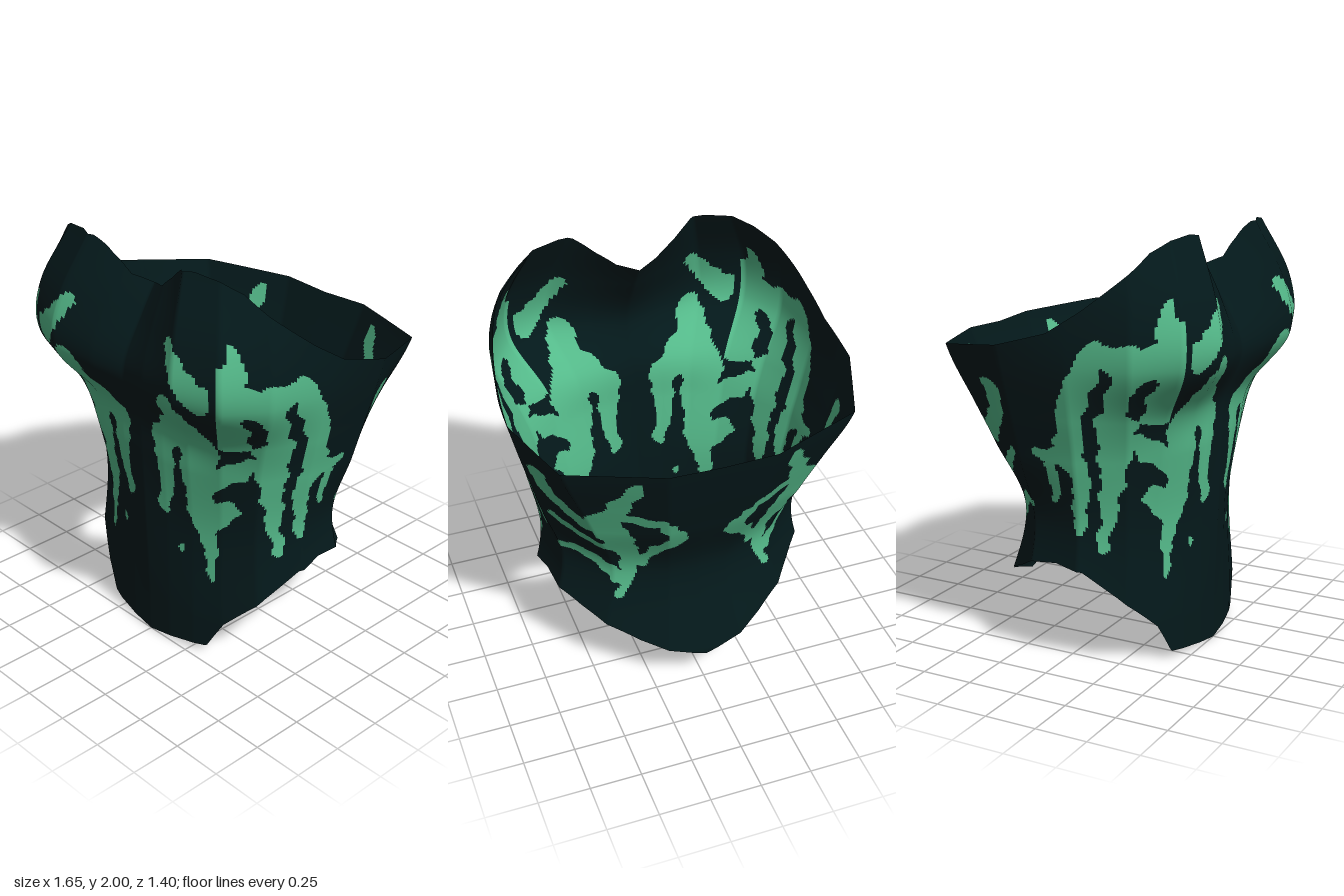
import * as THREE from 'three';

// Cubic interpolation through uneven knots
function smooth(ks, vs, t) {
  const n = ks.length;
  if (t <= ks[0]) return vs[0];
  if (t >= ks[n - 1]) return vs[n - 1];
  let i = 0;
  while (t > ks[i + 1]) i++;
  const slope = (k) => {
    const a = Math.max(k - 1, 0), b = Math.min(k + 1, n - 1);
    return (vs[b] - vs[a]) / (ks[b] - ks[a]);
  };
  const h = ks[i + 1] - ks[i], s = (t - ks[i]) / h, s2 = s * s, s3 = s2 * s;
  return (2 * s3 - 3 * s2 + 1) * vs[i] + (s3 - 2 * s2 + s) * h * slope(i)
    + (3 * s2 - 2 * s3) * vs[i + 1] + (s3 - s2) * h * slope(i + 1);
}

// Straight interpolation along [angle, height] pairs
function linear(pts, t) {
  let i = 0;
  while (i < pts.length - 2 && t > pts[i + 1][0]) i++;
  const [a, b] = [pts[i], pts[i + 1]];
  return a[1] + (b[1] - a[1]) * (t - a[0]) / (b[0] - a[0]);
}

// Half cross-sections: radius at each angle from the centre front to the centre back
const angles = [0, 15, 30, 45, 60, 80, 103, 128, 160, 180];
const levels = [0.2, 0.65, 1, 1.2, 1.45, 1.7, 2];
const sections = [
  [0.5, 0.507, 0.535, 0.585, 0.66, 0.75, 0.73, 0.63, 0.56, 0.53],
  [0.515, 0.507, 0.52, 0.56, 0.617, 0.648, 0.615, 0.505, 0.427, 0.41],
  [0.525, 0.535, 0.57, 0.62, 0.667, 0.7, 0.71, 0.655, 0.565, 0.53],
  [0.54, 0.555, 0.61, 0.685, 0.735, 0.75, 0.765, 0.75, 0.645, 0.605],
  [0.62, 0.685, 0.8, 0.87, 0.857, 0.803, 0.83, 0.868, 0.74, 0.695],
  [0.5, 0.6, 0.77, 0.855, 0.845, 0.803, 0.88, 0.93, 0.82, 0.77],
  [0.3, 0.4, 0.62, 0.69, 0.73, 0.78, 0.88, 0.93, 0.82, 0.77],
];
const topEdge = [[0, 1.82], [12, 1.845], [22, 1.92], [29, 1.99], [35, 2], [45, 1.985], [53, 1.94],
  [60, 1.86], [75, 1.7], [86, 1.6], [103, 1.53], [128, 1.48], [180, 1.455]];
const bottomEdge = [[0, 0], [37.5, 0.04], [46, 0.19], [64, 0.36], [78, 0.48], [90, 0.5],
  [103, 0.48], [114, 0.42], [145, 0.29], [180, 0.18]];

// Radius with straight chords between the section angles
function radius(deg, y) {
  let i = 0;
  while (i < angles.length - 2 && deg > angles[i + 1]) i++;
  const [ra, rb] = [i, i + 1].map((k) => smooth(levels, sections.map((s) => s[k]), y));
  const sin = (d) => Math.sin(THREE.MathUtils.degToRad(d));
  return sin(angles[i + 1] - angles[i])
    / (sin(angles[i + 1] - deg) / ra + sin(deg - angles[i]) / rb);
}

// Brush strokes: start width, end width, then points of the path
// Front strokes in x, y
const frontStrokes = [
  [0.035, 0.075, 0.34, 1.69, 0.51, 1.51],
  [0.06, 0.1, 0.34, 1.42, 0.34, 1.24],
  [0.09, 0.06, 0.3, 1.25, 0.14, 1.14],
  [0.06, 0.03, 0.13, 1.14, 0.16, 0.97, 0.12, 0.76],
  [0.11, 0.015, 0.35, 1.18, 0.31, 0.8, 0.36, 0.43],
  [0.04, 0.05, 0.33, 0.68, 0.43, 0.82],
  [0.05, 0.04, 0.33, 0.95, 0.47, 1.03, 0.57, 1.1],
  [0.02, 0.02, 0.2, 0.53, 0.2, 0.545],
];
// Side strokes in z, y
const sideStrokes = [
  [0.015, 0.06, 0.55, 1.75, 0.58, 1.58],
  [0.07, 0.05, 0.62, 1.6, 0.6, 1.42, 0.46, 1.22],
  [0.07, 0.04, 0.54, 1.52, 0.4, 1.42, 0.29, 1.2],
  [0.06, 0.06, 0.45, 1.5, 0.27, 1.51, 0.14, 1.28, 0.1, 1.08],
  [0.08, 0.02, 0.31, 1.18, 0.27, 0.95, 0.21, 0.59],
  [0.06, 0.025, 0.1, 1.1, 0.14, 0.95, 0.115, 0.66],
  [0.06, 0.02, 0.08, 1.02, -0.06, 1.03],
  [0.03, 0.02, 0.01, 1, 0, 0.8],
];
// Back strokes in hundredths of the angle, y
const backStrokes = [
  [0.045, 0.05, 1.11, 1.32, 1.12, 1.19, 1.25, 1.06],
  [0.025, 0.06, 1.5, 1.39, 1.4, 1.2, 1.32, 1.06],
  [0.07, 0.05, 1.33, 1.08, 1.38, 0.86, 1.37, 0.72],
  [0.05, 0.02, 1.37, 0.72, 1.32, 0.52],
  [0.03, 0.035, 1.4, 1.13, 1.57, 1.08, 1.67, 0.93],
  [0.035, 0.03, 1.67, 0.93, 1.53, 0.85, 1.42, 0.72],
  [0.02, 0.035, 1.08, 1, 1.2, 0.92, 1.33, 0.84],
  [0.025, 0.04, 1.04, 0.77, 1.18, 0.74, 1.33, 0.6],
];

// True when the point lies on a stroke that tapers along its path
function onStroke([w0, w1, ...path], u, y) {
  const segments = path.length / 2 - 1;
  const ragged = 0.007 * Math.sin(43 * u + 29 * y) + 0.005 * Math.sin(71 * y - 37 * u);
  for (let i = 0; i < segments; i++) {
    const [ax, ay, bx, by] = path.slice(i * 2, i * 2 + 4);
    const dx = bx - ax, dy = by - ay;
    const t = THREE.MathUtils.clamp(((u - ax) * dx + (y - ay) * dy) / (dx * dx + dy * dy), 0, 1);
    const width = THREE.MathUtils.lerp(w0, w1, (i + t) / segments);
    if (Math.hypot(u - ax - t * dx, y - ay - t * dy) < width + ragged) return true;
  }
  return false;
}

function isPattern(x, y, z) {
  const ax = Math.abs(x), deg = THREE.MathUtils.radToDeg(Math.atan2(ax, z));
  if (deg < 60 && frontStrokes.some((s) => onStroke(s, ax, y))) return true;
  if (deg > 44 && sideStrokes.some((s) => onStroke(s, z, y))) return true;
  return deg > 95 && backStrokes.some((s) => onStroke(s, deg / 100, y));
}

export function createModel() {
  const group = new THREE.Group();
  group.name = 'corset';
  const cloth = new THREE.MeshStandardMaterial({ color: 0x04191b, side: THREE.DoubleSide });
  cloth.name = 'dark teal cloth';
  const green = new THREE.MeshStandardMaterial({ color: 0x55bb8b, side: THREE.DoubleSide });
  green.name = 'green pattern';

  // Shell lofted between the bottom and top edges
  const around = 360, rows = 200, pos = [];
  for (let i = 0; i <= rows; i++) {
    for (let j = 0; j < around; j++) {
      const a = (j / around) * 360, half = a > 180 ? 360 - a : a;
      const y = THREE.MathUtils.lerp(linear(bottomEdge, half), linear(topEdge, half), i / rows);
      const r = radius(half, y), t = THREE.MathUtils.degToRad(a);
      pos.push(r * Math.sin(t), y, r * Math.cos(t));
    }
  }

  // Sort the faces into plain cloth and pattern
  const plain = [], marked = [];
  for (let i = 0; i < rows; i++) {
    for (let j = 0; j < around; j++) {
      const a = i * around + j, b = i * around + (j + 1) % around;
      const c = b + around, d = a + around;
      const mid = [0, 1, 2].map((n) => (pos[a * 3 + n] + pos[c * 3 + n]) / 2);
      (isPattern(...mid) ? marked : plain).push(a, b, c, a, c, d);
    }
  }
  const geo = new THREE.BufferGeometry();
  geo.setAttribute('position', new THREE.Float32BufferAttribute(pos, 3));
  geo.setIndex(plain.concat(marked));
  geo.addGroup(0, plain.length, 0);
  geo.addGroup(plain.length, marked.length, 1);
  geo.computeVertexNormals();
  const bodice = new THREE.Mesh(geo, [cloth, green]);
  bodice.name = 'bodice';
  group.add(bodice);
  return group;
}
